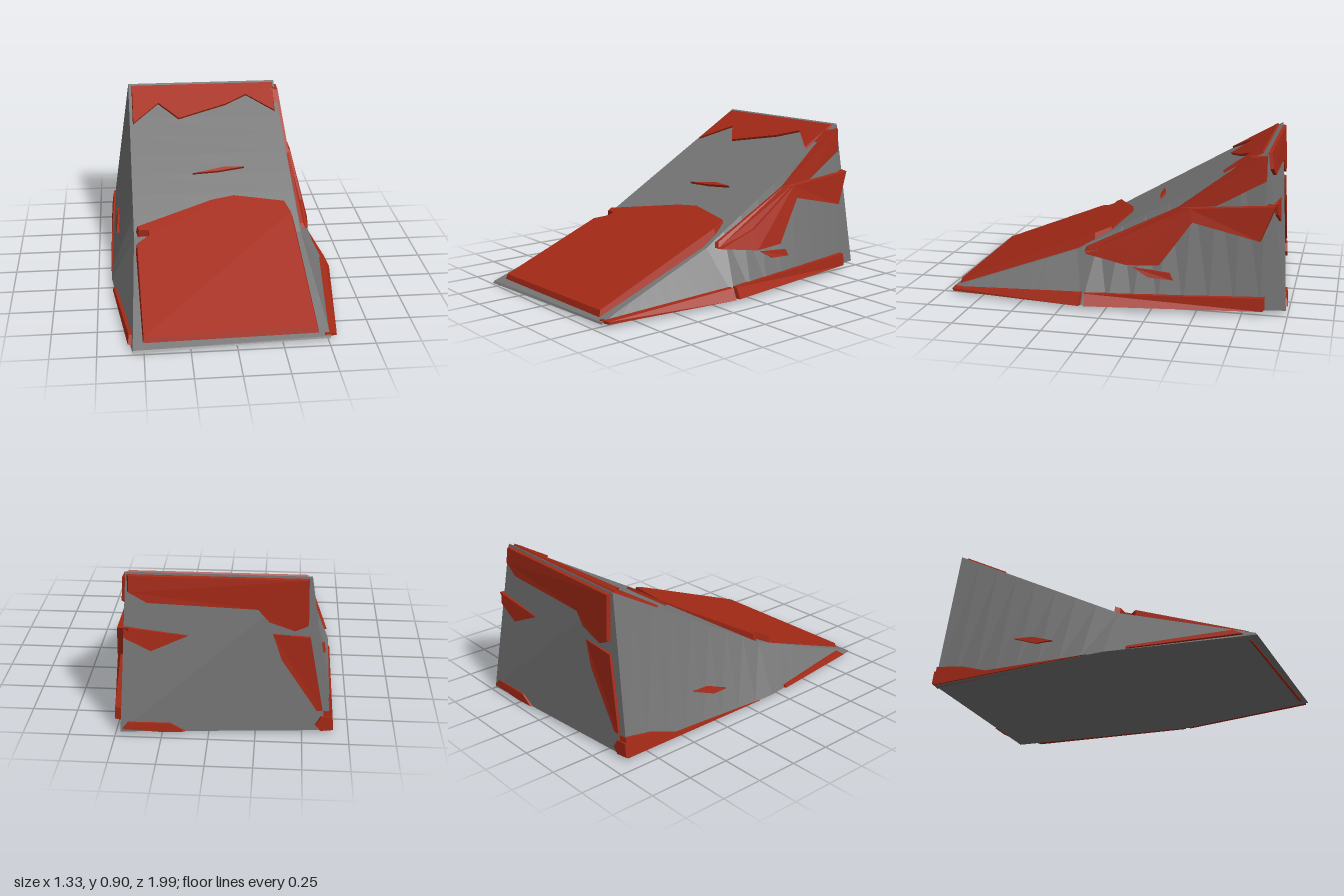
import * as THREE from 'three';

const V = (x, y, z) => new THREE.Vector3(x, y, z);
const steel = new THREE.MeshStandardMaterial({ color: 0x777777, flatShading: true });
const paint = new THREE.MeshStandardMaterial({ color: 0xa62a17, flatShading: true });

// Linear lookup in a table of [z, value], z falling from front to back.
function lookup(table, z) {
  let i = 0;
  while (i < table.length - 2 && z < table[i + 1][0]) i++;
  const [z0, v0] = table[i], [z1, v1] = table[i + 1];
  return THREE.MathUtils.lerp(v0, v1, THREE.MathUtils.clamp((z - z0) / (z1 - z0), 0, 1));
}

function mesh(name, points, index, material) {
  const geometry = new THREE.BufferGeometry().setFromPoints(points);
  geometry.setIndex(index);
  const flat = geometry.toNonIndexed();
  flat.computeVertexNormals();
  const m = new THREE.Mesh(flat, material);
  m.name = name;
  return m;
}

// Surfaces of the ramp, used to lay the paint plates on it.
const height = [[0.97, 0.015], [0.2, 0.30], [-0.86, 0.90]];
const rampAt = (x, z) => V(x, lookup(height, z), z);
const lowerDeckAt = (x, z) => V(x, 0.065 + 0.392 * (0.9 - z), z);
const side = (top, bottom) => (z, y) => {
  const t = THREE.MathUtils.clamp(y / Math.max(lookup(height, z), 0.02), 0, 1);
  return V(THREE.MathUtils.lerp(lookup(bottom, z), lookup(top, z), t), y, z);
};
const leftAt = side([[0.95, 0.51], [0.15, 0.46], [-0.86, 0.43]], [[0.95, 0.51], [0.13, 0.63], [-0.99, 0.47]]);
const rightAt = side([[0.99, -0.56], [0.2, -0.53], [-0.86, -0.53]], [[0.99, -0.56], [0.18, -0.67], [-0.89, -0.66]]);
const backAt = (x, y) => {
  const foot = -0.89 - 0.1 * (x + 0.66) / 1.13;
  return V(x, y, THREE.MathUtils.lerp(foot, -0.86, y / 0.9));
};

// A jagged plate: an outline laid on a surface, with a slightly tapered rim.
function plate(name, outline, surface, out, thick, depth = 0.03) {
  const n = outline.length;
  const base = outline.map(([a, b]) => surface(a, b));
  const centre = base.reduce((s, p) => s.add(p), V(0, 0, 0)).divideScalar(n);
  const outer = base.map(p => p.clone().lerp(centre, 0.03).addScaledVector(out, thick));
  const inner = base.map(p => p.clone().addScaledVector(out, -depth));
  const index = [];
  const tris = THREE.ShapeUtils.triangulateShape(outline.map(p => new THREE.Vector2(...p)), []);
  const area = V(0, 0, 0);
  base.forEach((p, i) => area.add(p.clone().cross(base[(i + 1) % n])));
  const forward = area.dot(out) > 0;
  const face = (a, b, c) => {
    const normal = outer[b].clone().sub(outer[a]).cross(outer[c].clone().sub(outer[a]));
    const [p, q] = normal.dot(out) > 0 ? [b, c] : [c, b];
    index.push(a, p, q, a + n, q + n, p + n);
  };
  tris.forEach(t => face(...t));
  for (let i = 0; i < n; i++) {
    const j = (i + 1) % n;
    const [a, b] = forward ? [i, j] : [j, i];
    index.push(a, a + n, b + n, a, b + n, b);
  }
  return mesh(name, [...outer, ...inner], index, paint);
}

// Grey wedge lofted from front, middle and back sections.
function wedge() {
  const sections = [
    [V(-0.56, 0.012, 0.985), V(-0.56, 0, 0.995), V(0.51, 0.012, 0.95), V(0.51, 0.022, 0.945)],
    [V(-0.53, 0.30, 0.2), V(-0.67, 0.015, 0.18), V(0.63, 0.018, 0.13), V(0.46, 0.29, 0.2)],
    [V(-0.53, 0.90, -0.86), V(-0.66, 0.012, -0.89), V(0.47, 0.02, -0.99), V(0.43, 0.90, -0.86)],
  ];
  const points = [], index = [], steps = 8;
  for (let s = 0; s <= steps * 2; s++) {
    const k = Math.min(Math.floor(s / steps), 1), t = s / steps - k;
    for (let c = 0; c < 4; c++) points.push(sections[k][c].clone().lerp(sections[k + 1][c], t));
  }
  for (let s = 0; s < steps * 2; s++) {
    for (let j = 0; j < 4; j++) {
      const a = s * 4 + j, b = s * 4 + (j + 1) % 4;
      index.push(a, b + 4, b, a, a + 4, b + 4);
    }
  }
  const e = steps * 8;
  index.push(0, 1, 2, 0, 2, 3, e, e + 2, e + 1, e, e + 3, e + 2);
  return mesh('rampBody', points, index, steel);
}

export function createModel() {
  const group = new THREE.Group();
  group.name = 'ramp';
  group.add(wedge());

  const up = V(0, 0.87, 0.49), left = V(1, 0, 0), right = V(-1, 0, 0), back = V(0, 0, -1);

  // Paint on the sloping deck
  group.add(
    plate('lowerDeckPlate', [[-0.52, 0.17], [-0.05, -0.02], [0.09, -0.05], [0.40, 0.01], [0.43, 0.1],
      [0.46, 0.93], [-0.51, 0.95], [-0.525, 0.3], [-0.45, 0.24], [-0.45, 0.2], [-0.51, 0.2]],
      lowerDeckAt, V(0, 1, 0), 0.004, 0.05),
    plate('upperDeckPlate', [[-0.52, -0.84], [0.43, -0.84], [0.42, -0.62], [0.24, -0.75], [0.10, -0.68],
      [-0.22, -0.58], [-0.35, -0.70], [-0.52, -0.55]], rampAt, up, 0.012),
    plate('deckScratch', [[-0.16, -0.19], [0.05, -0.23], [0.17, -0.225], [0, -0.2]], rampAt, up, 0.012),
  );

  // Paint on the left side
  group.add(
    plate('leftUpperPlate', [[0.16, 0.28], [0.15, 0.31], [-0.38, 0.57], [-0.78, 0.87], [-0.87, 0.88],
      [-0.87, 0.74], [-0.6, 0.59], [-0.45, 0.57], [-0.1, 0.35]], leftAt, left, 0.015),
    plate('leftMiddlePlate', [[0.15, 0.28], [-0.1, 0.24], [-0.29, 0.25], [-0.47, 0.5], [-0.85, 0.41],
      [-0.93, 0.61], [-0.45, 0.575], [-0.1, 0.36]], leftAt, left, 0.03),
    plate('leftPatch', [[-0.14, 0.23], [-0.35, 0.21], [-0.37, 0.17], [-0.23, 0.18]], leftAt, left, 0.012),
    plate('leftFrontSkirt', [[0.94, 0.015], [0.13, 0.02], [0.13, 0.085], [0.94, 0.03]], leftAt, left, 0.035),
    plate('leftRearSkirt', [[0.13, 0.02], [-0.88, 0.02], [-0.88, 0.095], [0.13, 0.085]], leftAt, left, 0.035),
  );

  // Paint on the right side
  group.add(
    plate('rightFrontSkirt', [[0.93, 0.012], [0.3, 0.015], [0.3, 0.03], [0.88, 0.045]], rightAt, right, 0.02),
    plate('rightRearSkirt', [[0.1, 0.015], [-0.9, 0.012], [-0.9, 0.13], [-0.72, 0.1], [-0.55, 0.04]],
      rightAt, right, 0.012),
    plate('rightPatch', [[-0.4, 0.22], [-0.28, 0.21], [-0.15, 0.16], [-0.25, 0.16]], rightAt, right, 0.012),
  );

  // Paint on the back
  group.add(
    plate('backTopPlate', [[-0.52, 0.89], [0.43, 0.89], [0.43, 0.80], [0.33, 0.745], [-0.26, 0.72],
      [-0.32, 0.65], [-0.46, 0.60], [-0.525, 0.63]], backAt, back, 0.02, 0.015),
    plate('backCornerPlate', [[-0.33, 0.59], [-0.53, 0.57], [-0.61, 0.13], [-0.58, 0.13], [-0.38, 0.44]],
      backAt, back, 0.015),
    plate('backSliver', [[0.45, 0.61], [0.10, 0.57], [0.3, 0.48], [0.44, 0.55]], backAt, back, 0.02),
    plate('backFootPatch', [[0.46, 0.04], [0.43, 0.08], [0.2, 0.07], [0.12, 0.02], [0.25, 0.02]],
      backAt, back, 0.015),
    plate('backFootCorner', [[-0.67, 0.02], [-0.66, 0.1], [-0.60, 0.1], [-0.57, 0.05], [-0.6, 0.015]],
      backAt, back, 0.015),
  );
  return group;
}
